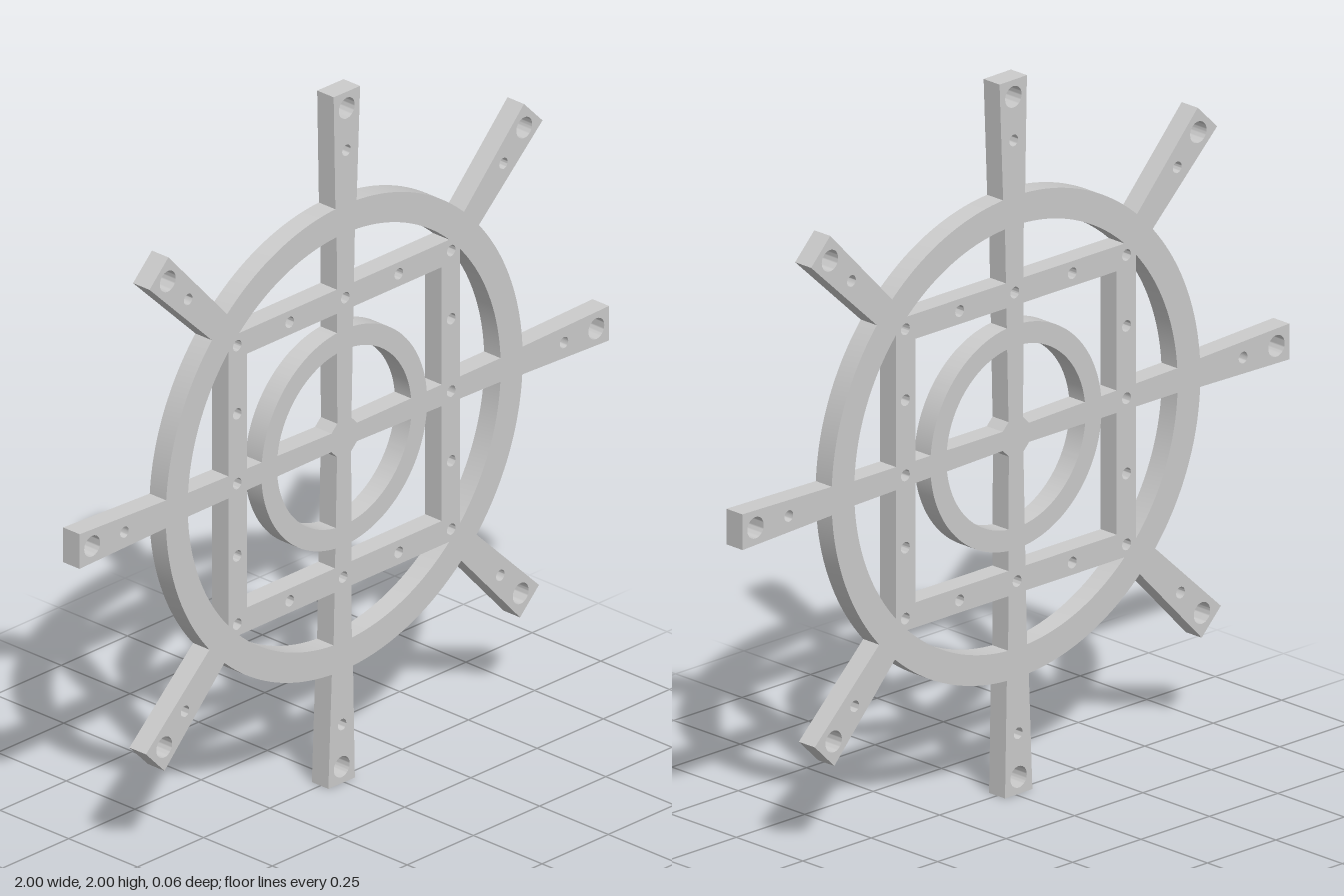
import * as THREE from 'three';
import { toCreasedNormals } from 'three/addons/utils/BufferGeometryUtils.js';

const DEPTH = 0.06;
const SMALL = 0.016; // bolt hole radius
const BIG = 0.03; // arm tip hole radius
const SPIN = -0.01; // slight twist of the arms against the frame

const material = new THREE.MeshStandardMaterial({ color: 0xcccccc });

function polygon(points) {
  return new THREE.Shape(points.map(([x, y]) => new THREE.Vector2(x, y)));
}

function drill(shape, x, y, r) {
  shape.holes.push(new THREE.Path().absarc(x, y, r, 0, Math.PI * 2, true));
}

// Flat plate of the common thickness, centred on z = 0
function plate(name, shape, curveSegments = 24) {
  const geo = new THREE.ExtrudeGeometry(shape, { depth: DEPTH, bevelEnabled: false, curveSegments });
  geo.translate(0, 0, -DEPTH / 2);
  const mesh = new THREE.Mesh(toCreasedNormals(geo, 0.6), material);
  mesh.name = name;
  return mesh;
}

function ring(name, outer, inner) {
  const shape = new THREE.Shape().absarc(0, 0, outer, 0, Math.PI * 2, false);
  drill(shape, 0, 0, inner);
  return plate(name, shape, 96);
}

// Tapered arm along +x with a tip hole and a smaller bolt hole
function armShape(start) {
  const shape = polygon([[start, -0.039], [0.9995, -0.05], [0.9995, 0.05], [start, 0.039]]);
  drill(shape, 0.952, 0, BIG);
  return shape;
}

export function createModel() {
  const wheel = new THREE.Group();
  wheel.name = 'wheelFrame';
  wheel.position.y = 1;

  // Concentric rings
  wheel.add(ring('outerRing', 0.674, 0.591), ring('innerRing', 0.313, 0.254));

  // Square frame with bolt holes
  const o = 0.438, i = 0.368, b = 0.404;
  const square = polygon([[-o, -o], [o, -o], [o, o], [-o, o]]);
  square.holes.push(new THREE.Path([[-i, -i], [-i, i], [i, i], [i, -i]].map(([x, y]) => new THREE.Vector2(x, y))));
  for (let k = 0; k < 4; k++) {
    const c = Math.round(Math.cos(k * Math.PI / 2)), s = Math.round(Math.sin(k * Math.PI / 2));
    for (const t of [-0.206, b * SPIN, 0.206, b]) drill(square, b * c - t * s, b * s + t * c, SMALL);
  }
  wheel.add(plate('squareFrame', square));

  // Spokes, arms and hub share the slight twist
  const arms = new THREE.Group();
  arms.name = 'arms';
  arms.rotation.z = SPIN;
  for (let k = 0; k < 8; k++) {
    const straight = k % 2 === 0;
    const shape = armShape(0.635);
    drill(shape, straight ? 0.83 : 0.842, 0, SMALL);
    const arm = plate('outerArm', shape);
    arm.rotation.z = k * Math.PI / 4;
    arms.add(arm);

    if (straight) {
      const inner = polygon([[0, -0.026], [0.635, -0.035], [0.635, 0.035], [0, 0.026]]);
      drill(inner, b, 0, SMALL);
      const spoke = plate('innerSpoke', inner);
      spoke.rotation.z = k * Math.PI / 4;
      arms.add(spoke);
    }
  }
  arms.add(plate('hub', polygon([[0.075, 0], [0, 0.075], [-0.075, 0], [0, -0.075]])));
  wheel.add(arms);

  const model = new THREE.Group();
  model.name = 'model';
  model.add(wheel);
  return model;
}
